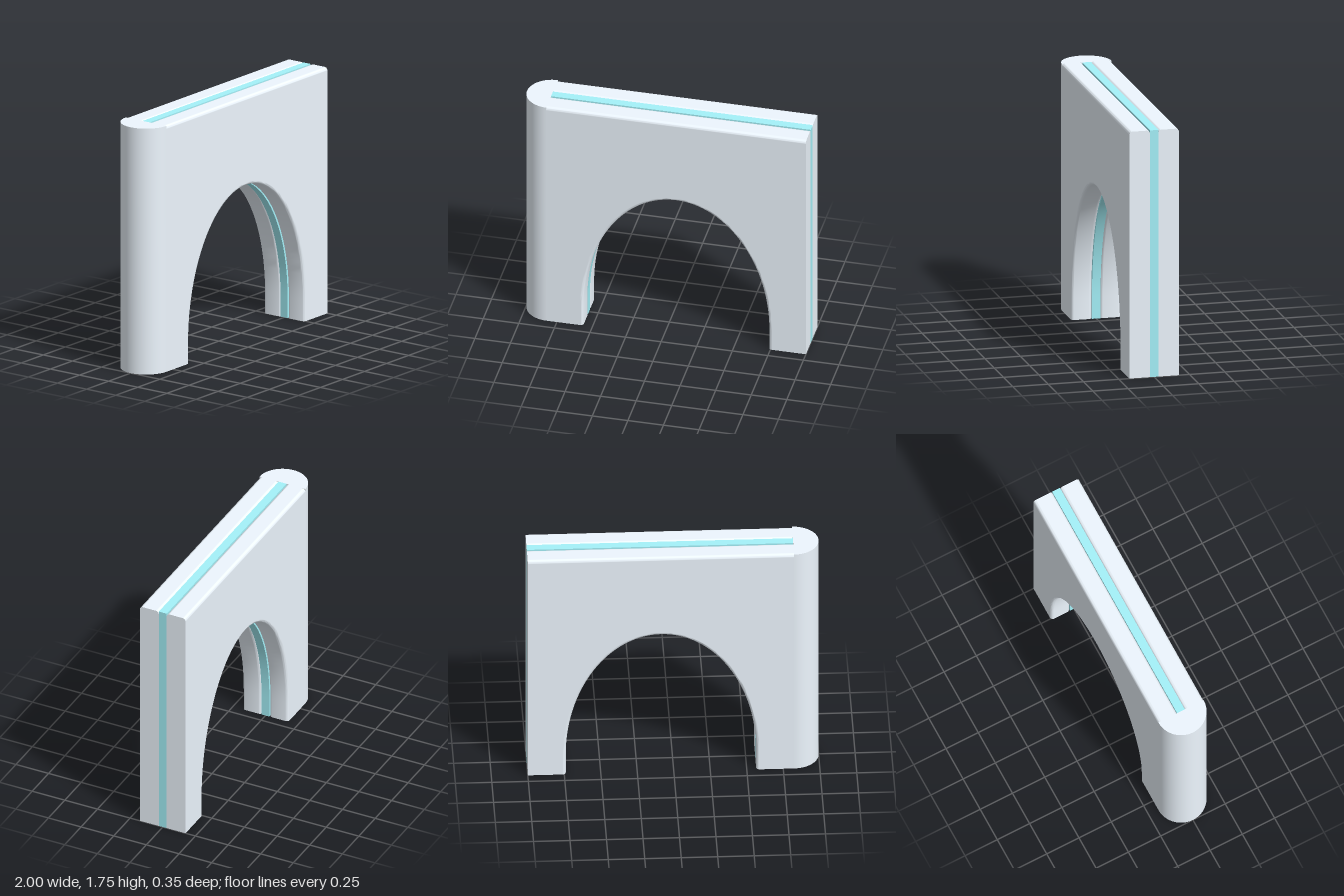
import * as THREE from 'three';
import { toCreasedNormals } from 'three/addons/utils/BufferGeometryUtils.js';

const HEIGHT = 1.75, HALF = 0.175, CORE = 0.03, BEVEL = 0.023;
const LEFT = -1 + HALF, RIGHT = 1;
const ARCH = { x: 0.087, spring: 0.15, rx: 0.652, ry: 0.967 };

// Panel outline: straight sides and top, with a stilted elliptical arch cut from below
function panelShape() {
  const pts = [[LEFT, 0], [ARCH.x - ARCH.rx, 0]];
  for (let i = 0; i <= 64; i++) {
    const a = Math.PI * (1 - i / 64);
    pts.push([ARCH.x + ARCH.rx * Math.cos(a), ARCH.spring + ARCH.ry * Math.sin(a)]);
  }
  pts.push([ARCH.x + ARCH.rx, 0], [RIGHT, 0], [RIGHT, HEIGHT], [LEFT, HEIGHT]);
  return new THREE.Shape(pts.map(([x, y]) => new THREE.Vector2(x, y)));
}

// Outer board: each extruded layer is inset at the top and arch to round those edges
function boardGeometry() {
  const depth = HALF - CORE, n = 6;
  const layers = [];
  for (let i = 0; i <= n; i++) {
    const a = (i / n) * Math.PI / 2;
    layers.push([BEVEL * (1 - Math.sin(a)), BEVEL * (1 - Math.cos(a))]);
  }
  for (let i = n; i >= 0; i--) layers.push([layers[i][0], depth - layers[i][1]]);

  const steps = layers.length - 1;
  const geo = new THREE.ExtrudeGeometry(panelShape(), { depth: steps, steps, bevelEnabled: false });
  const p = geo.attributes.position;
  for (let i = 0; i < p.count; i++) {
    let x = p.getX(i), y = p.getY(i);
    const [inset, z] = layers[Math.round(p.getZ(i))];
    if (y > HEIGHT - 0.001) {
      y -= inset;
    } else if (Math.abs(x - ARCH.x) < ARCH.rx + 0.001) {
      x += (x - ARCH.x) * inset / ARCH.rx;
      if (y > ARCH.spring) y += (y - ARCH.spring) * inset / ARCH.ry;
    }
    p.setXYZ(i, x, y, z);
  }

  // Keep the broad faces and the top evenly flat where they meet the rounding
  const board = toCreasedNormals(geo, 0.6);
  const normal = board.attributes.normal;
  for (let i = 0; i < normal.count; i++) {
    const nz = normal.getZ(i);
    if (Math.abs(nz) > 0.98) normal.setXYZ(i, 0, 0, Math.sign(nz));
    else if (normal.getY(i) > 0.98) normal.setXYZ(i, 0, 1, 0);
  }
  return board;
}

export function createModel() {
  const group = new THREE.Group();
  const paleWhite = new THREE.MeshStandardMaterial({ color: 0xeef7ff });
  const teal = new THREE.MeshStandardMaterial({ color: 0xa5f2fa });
  const add = (name, geo, mat, z = 0) => {
    const mesh = new THREE.Mesh(geo, mat);
    mesh.name = name;
    mesh.position.z = z;
    group.add(mesh);
  };

  // Two boards either side of the coloured core
  const board = boardGeometry();
  add('frontBoard', board, paleWhite, CORE);
  add('backBoard', board, paleWhite, -HALF);

  const core = new THREE.ExtrudeGeometry(panelShape(), { depth: 2 * CORE, bevelEnabled: false });
  add('core', toCreasedNormals(core, 0.6), teal, -CORE);

  // Half-round end post
  const half = new THREE.Shape();
  half.absarc(LEFT, 0, HALF, Math.PI / 2, Math.PI * 1.5, false);
  half.closePath();
  const post = new THREE.ExtrudeGeometry(half, { depth: HEIGHT, bevelEnabled: false, curveSegments: 24 });
  post.rotateX(-Math.PI / 2);
  add('roundedEnd', toCreasedNormals(post, 0.6), paleWhite);

  return group;
}
